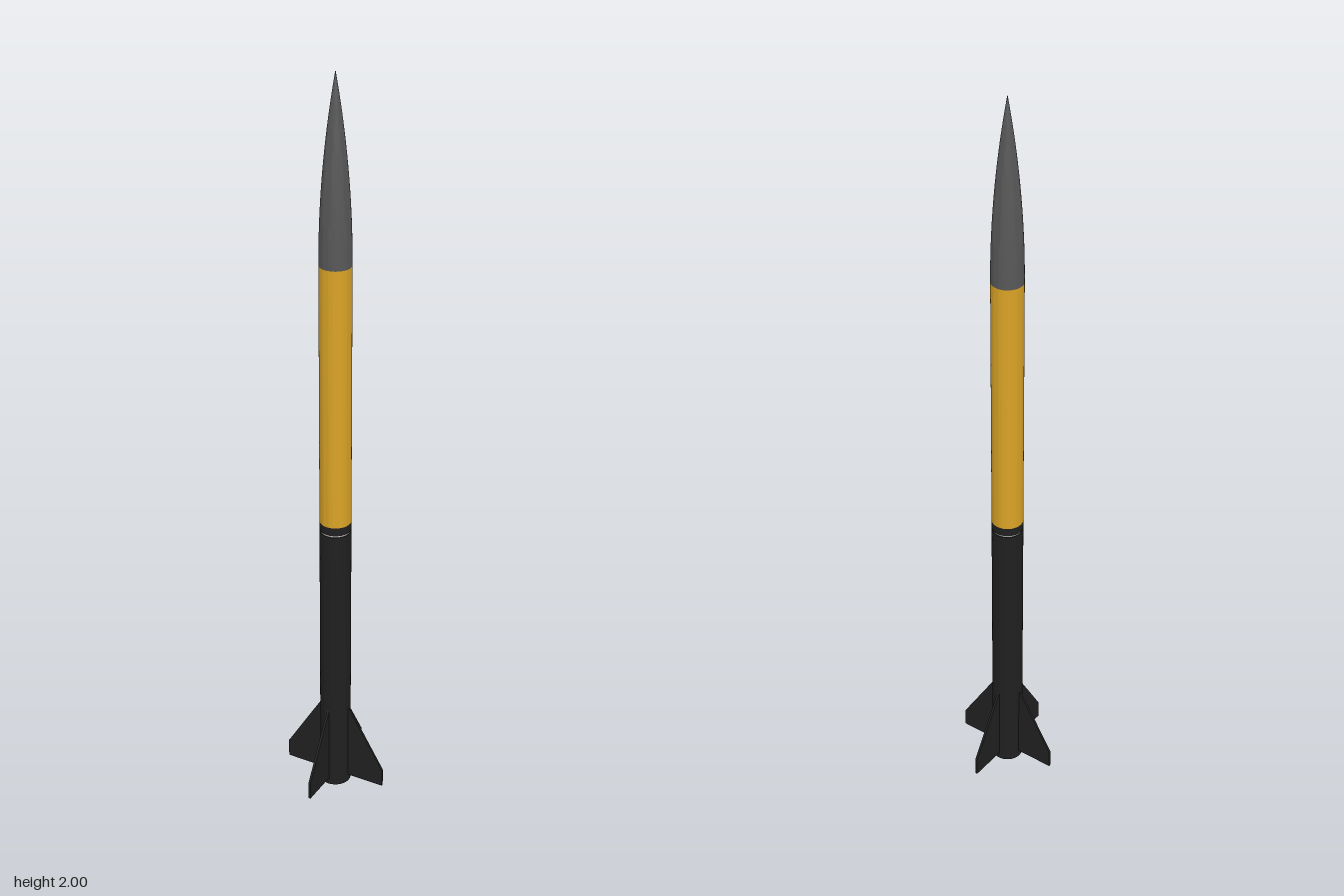
import * as THREE from 'three';
import { toCreasedNormals } from 'three/addons/utils/BufferGeometryUtils.js';

const R = 0.041;
const black = new THREE.MeshStandardMaterial({ color: 0x202020 });
const yellow = new THREE.MeshStandardMaterial({ color: 0xdaa326 });
const darkGrey = new THREE.MeshStandardMaterial({ color: 0x585858 });
const grey = new THREE.MeshStandardMaterial({ color: 0xcccccc });

function lathe(name, material, points) {
  const profile = points.map(([r, y]) => new THREE.Vector2(r, y));
  const geometry = toCreasedNormals(new THREE.LatheGeometry(profile, 48), 0.6);
  const mesh = new THREE.Mesh(geometry, material);
  mesh.name = name;
  return mesh;
}

export function createModel() {
  const group = new THREE.Group();
  group.name = 'modelRocket';

  // Lower body tube, open at the tail
  group.add(lathe('lowerBodyTube', black, [
    [0.037, 0.12], [0.037, 0.005], [R, 0.005], [R, 0.787], [0.037, 0.787],
  ]));

  // Motor tube with a recessed nozzle, held by a ring
  group.add(lathe('motorTube', grey, [
    [0.022, 0.06], [0.025, 0], [0.03, 0], [0.03, 0.12],
  ]));
  group.add(lathe('nozzle', darkGrey, [[0, 0.05], [0.008, 0.05], [0.023, 0.02]].map(([r, y]) => [r, y])));
  group.add(lathe('centeringRing', grey, [[0.038, 0.025], [0.029, 0.025]].reverse().map(([r, y]) => [r, y])));
  group.children.slice(-2).forEach((m) => {
    m.material = m.material.clone();
    m.material.side = THREE.DoubleSide;
  });

  // Joint: recessed coupler and collar
  group.add(lathe('coupler', grey, [[0.0385, 0.78], [0.0385, 0.8]]));
  group.add(lathe('collar', black, [[0.037, 0.792], [R, 0.792], [R, 0.815]]));

  // Upper body tube
  group.add(lathe('upperBodyTube', yellow, [[0, 0.815], [R, 0.815], [R, 1.52]]));

  // Ogive nose cone
  const nose = [];
  for (let i = 0; i <= 24; i++) {
    const t = i / 24;
    nose.push([R * (1 - t * t), 1.52 + 0.48 * t]);
  }
  group.add(lathe('noseCone', darkGrey, nose));

  // Four swept fins, turned slightly off the axes
  const outline = new THREE.Shape([
    [0.036, 0.025], [0.145, 0.025], [0.145, 0.075], [0.036, 0.255],
  ].map(([x, y]) => new THREE.Vector2(x, y)));
  const finGeometry = new THREE.ExtrudeGeometry(outline, { depth: 0.006, bevelEnabled: false });
  finGeometry.translate(0, 0, -0.003);
  for (let i = 0; i < 4; i++) {
    const fin = new THREE.Mesh(finGeometry, black);
    fin.name = 'fin' + (i + 1);
    fin.rotation.y = 0.128 + i * Math.PI / 2;
    group.add(fin);
  }

  return group;
}
